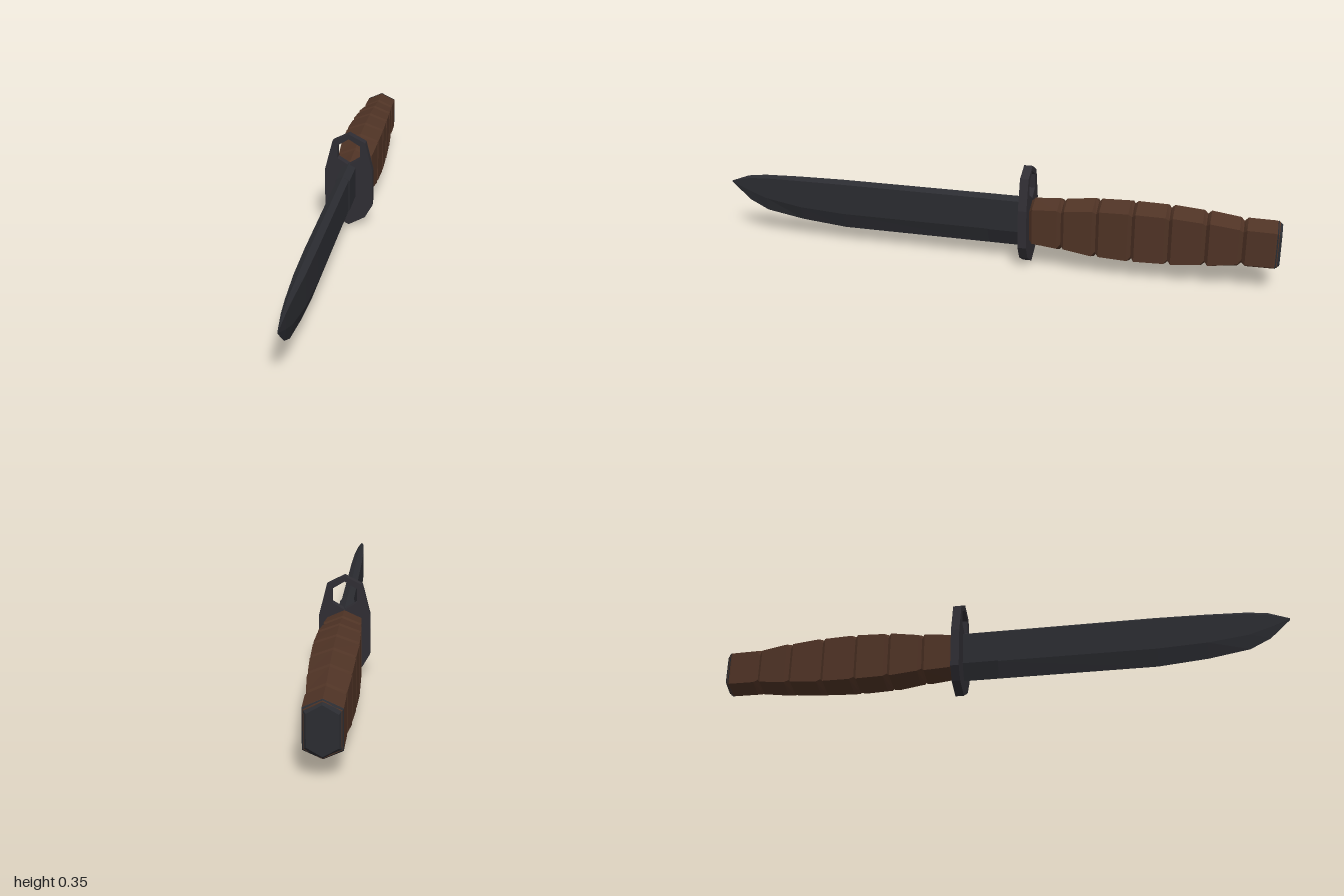
import * as THREE from 'three';

const paint = (color) => new THREE.MeshStandardMaterial({ color, flatShading: true });

// Six-sided cross-section: top ridge, two upright sides, bottom ridge
const ring = (z, top, upper, lower, bottom, w) => [
  [0, top, z], [-w, upper, z], [-w, lower, z], [0, bottom, z], [w, lower, z], [w, upper, z],
];

// Skin rings (ordered by rising z) with flat faces and closed ends
function loft(name, rings, material) {
  const pos = [];
  const tri = (a, b, c) => pos.push(...a, ...b, ...c);
  const n = rings[0].length;
  for (let i = 0; i < rings.length - 1; i++) {
    for (let j = 0; j < n; j++) {
      const k = (j + 1) % n;
      const [a, b, c, d] = [rings[i][j], rings[i][k], rings[i + 1][k], rings[i + 1][j]];
      tri(a, b, c);
      tri(a, c, d);
    }
  }
  const first = rings[0], last = rings[rings.length - 1];
  for (let j = 1; j < n - 1; j++) {
    tri(first[0], first[j + 1], first[j]);
    tri(last[0], last[j], last[j + 1]);
  }
  const geo = new THREE.BufferGeometry();
  geo.setAttribute('position', new THREE.Float32BufferAttribute(pos, 3));
  geo.computeVertexNormals();
  const mesh = new THREE.Mesh(geo, material);
  mesh.name = name;
  return mesh;
}

// Handle cross-section centred on the grip axis
const gripRing = (z, h, w, inset = 0) => {
  const H = h - inset, W = w - inset, c = H - 0.026;
  return ring(z, 0.15 + H, 0.15 + c, 0.15 - c, 0.15 - H, W);
};

export function createModel() {
  const group = new THREE.Group();
  const steel = paint(0x2b2c31);
  const guardSteel = paint(0x2f2d33);
  const leather = paint(0x4f3325);

  // Thick blade root, then the main blade tapering to the tip
  group.add(loft('bladeRoot', [
    ring(-0.14, 0.239, 0.226, 0.113, 0.055, 0.025),
    ring(0.0, 0.239, 0.226, 0.113, 0.055, 0.025),
  ], steel));
  group.add(loft('blade', [
    ring(-0.01, 0.239, 0.226, 0.113, 0.055, 0.021),
    ring(0.55, 0.239, 0.226, 0.113, 0.055, 0.020),
    ring(0.72, 0.236, 0.224, 0.122, 0.070, 0.0175),
    ring(0.86, 0.231, 0.220, 0.142, 0.093, 0.011),
    ring(0.93, 0.222, 0.213, 0.165, 0.127, 0.007),
    ring(1.0, 0.196, 0.195, 0.192, 0.190, 0.0008),
  ], steel));

  // Guard plate with a hexagonal barrel ring opening
  const half = [[0, 0], [0.06, 0.033], [0.087, 0.08], [0.087, 0.215], [0.06, 0.322], [0, 0.353]];
  const mirrored = half.slice(1, -1).reverse().map(([x, y]) => [-x, y]);
  const vec = ([x, y]) => new THREE.Vector2(x, y);
  const plate = new THREE.Shape([...half, ...mirrored].map(vec));
  plate.holes.push(new THREE.Path([
    [0, 0.334], [-0.041, 0.309], [-0.041, 0.26], [0, 0.235], [0.041, 0.26], [0.041, 0.309],
  ].map(vec)));
  const guardGeo = new THREE.ExtrudeGeometry(plate, { depth: 0.03, bevelEnabled: false });
  guardGeo.translate(0, 0, -0.155);
  const guard = new THREE.Mesh(guardGeo, guardSteel);
  guard.name = 'guard';
  group.add(guard);

  // Grip: bevelled leather rings following a swelling profile of [z, half height, half width]
  const profile = [
    [-0.992, 0.086, 0.056], [-0.877, 0.087, 0.057], [-0.757, 0.100, 0.064], [-0.635, 0.108, 0.068],
    [-0.512, 0.110, 0.071], [-0.390, 0.107, 0.069], [-0.268, 0.095, 0.063], [-0.155, 0.088, 0.057],
  ];
  const grip = new THREE.Group();
  grip.name = 'grip';
  for (let i = 0; i < profile.length - 1; i++) {
    const [z0, h0, w0] = profile[i];
    const [z1, h1, w1] = profile[i + 1];
    const bevel = 0.012;
    grip.add(loft('gripRing' + (i + 1), [
      gripRing(z0, h0, w0, i ? 0.012 : 0.004),
      gripRing(z0 + bevel, h0, w0),
      gripRing(z1 - bevel, h1, w1),
      gripRing(z1, h1, w1, 0.012),
    ], leather));
  }
  group.add(grip);

  // Steel pommel cap closing the grip
  group.add(loft('pommel', [
    gripRing(-1, 0.086, 0.056, 0.012),
    gripRing(-0.985, 0.0865, 0.0565),
  ], steel));

  return group;
}
